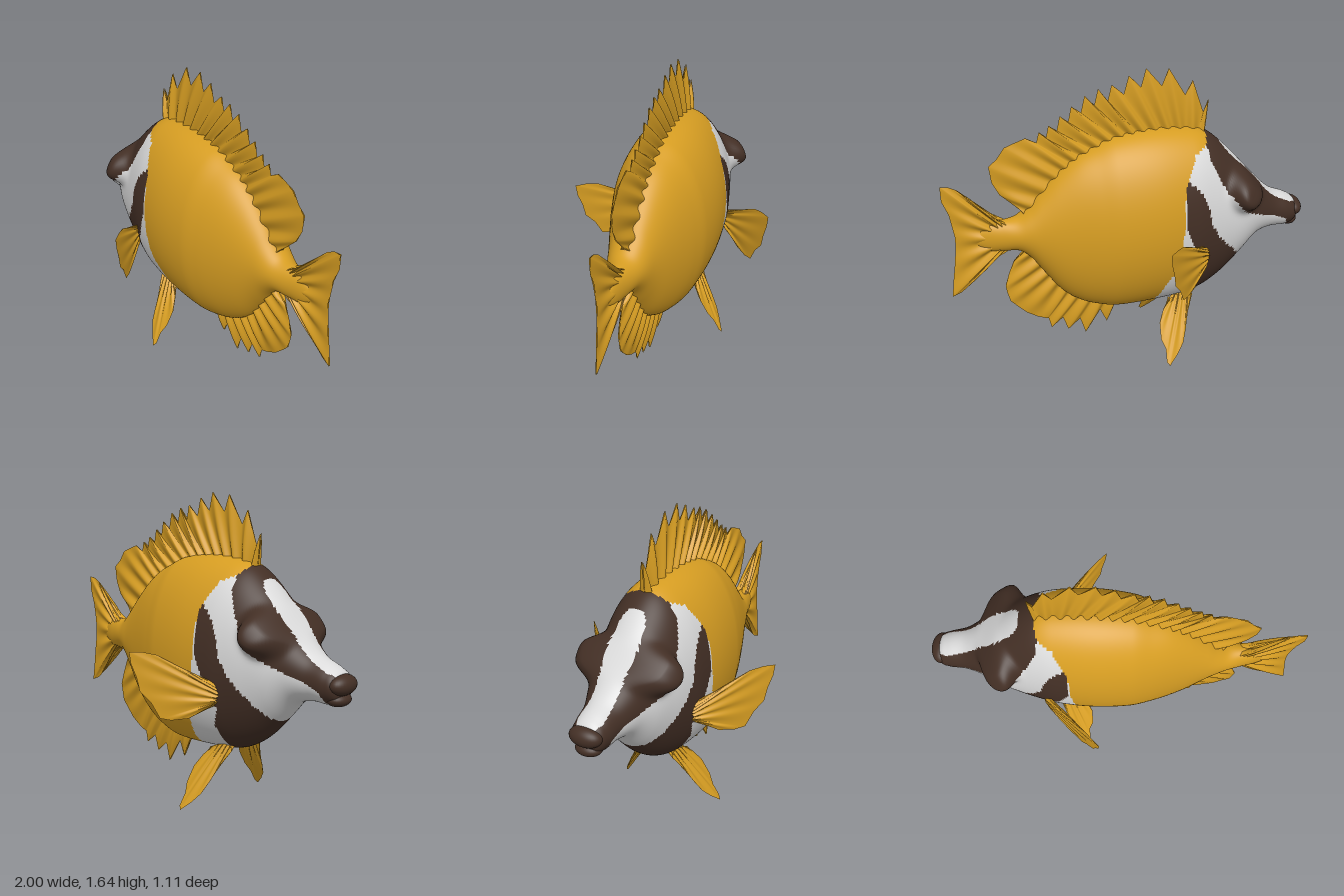
import * as THREE from 'three';

const mat = (name, color, side = THREE.FrontSide) => {
  const m = new THREE.MeshStandardMaterial({ color, side });
  m.name = name;
  return m;
};

// Piecewise lookup in rows [key, value...]; smooth = cubic through the rows
function lookup(rows, key, col = 1, smooth = false) {
  const last = rows.length - 1;
  if (key <= rows[0][0]) return rows[0][col];
  if (key >= rows[last][0]) return rows[last][col];
  let i = 0;
  while (rows[i + 1][0] < key) i++;
  const a = rows[i], b = rows[i + 1], d = b[0] - a[0], t = (key - a[0]) / d;
  if (!smooth) return a[col] + (b[col] - a[col]) * t;
  const p = rows[Math.max(i - 1, 0)], n = rows[Math.min(i + 2, last)];
  const ma = (b[col] - p[col]) / (b[0] - p[0]) * d, mb = (n[col] - a[col]) / (n[0] - a[0]) * d;
  const t2 = t * t, t3 = t2 * t;
  return (2 * t3 - 3 * t2 + 1) * a[col] + (t3 - 2 * t2 + t) * ma + (3 * t2 - 2 * t3) * b[col] + (t3 - t2) * mb;
}

// Body sections: x, top, bottom, half width
const BODY = [
  [-0.97, 0.79, 0.76, 0.01], [-0.95, 0.845, 0.715, 0.075], [-0.9, 0.88, 0.69, 0.098], [-0.8, 0.925, 0.69, 0.115],
  [-0.7, 1.02, 0.66, 0.155], [-0.6, 1.13, 0.555, 0.2], [-0.5, 1.235, 0.45, 0.228], [-0.4, 1.315, 0.38, 0.252],
  [-0.3, 1.345, 0.345, 0.273], [-0.1, 1.355, 0.325, 0.286], [0.1, 1.33, 0.32, 0.268], [0.2, 1.29, 0.34, 0.24],
  [0.3, 1.24, 0.38, 0.205], [0.4, 1.16, 0.46, 0.168], [0.5, 1.055, 0.6, 0.13], [0.56, 0.985, 0.69, 0.11],
  [0.62, 0.935, 0.74, 0.088], [0.7, 0.92, 0.745, 0.06], [0.78, 0.905, 0.755, 0.035], [0.86, 0.84, 0.81, 0.004],
];

// Colour borders, as x for a given height y
const EYE_BAND = [[0.7, -0.9], [0.76, -0.88], [0.8, -0.8], [0.83, -0.72], [0.86, -0.65], [0.9, -0.58],
  [0.94, -0.55], [1.02, -0.48], [1.1, -0.43], [1.2, -0.385], [1.28, -0.375], [1.34, -0.39]];
const CHEEK_FRONT = [[0.5, -0.62], [0.55, -0.6], [0.62, -0.57], [0.68, -0.52], [0.78, -0.43], [0.87, -0.38],
  [0.95, -0.36], [1.05, -0.32], [1.1, -0.28], [1.13, -0.24]];
const CHEEK_BACK = [[0.35, -0.31], [0.5, -0.3], [0.6, -0.34], [0.65, -0.33], [0.75, -0.28], [0.85, -0.235],
  [0.9, -0.225], [1.1, -0.23], [1.13, -0.24]];
const GOLD_FRONT = [[0.32, -0.08], [0.45, -0.12], [0.55, -0.15], [0.6, -0.19], [0.9, -0.22], [1.08, -0.225],
  [1.15, -0.25], [1.24, -0.3], [1.28, -0.38], [1.34, -0.4]];
const STRIPE = [[-0.96, 0.045], [-0.9, 0.07], [-0.8, 0.064], [-0.7, 0.07], [-0.6, 0.085], [-0.5, 0.068], [-0.47, 0.03]];

// 0 gold, 1 brown, 2 white
function paint(x, y, z) {
  if (x > lookup(GOLD_FRONT, y)) return 0;
  if (x < lookup(EYE_BAND, y)) {
    const forehead = x > -0.96 && x < -0.475 && y > 0.82 && Math.abs(z) < lookup(STRIPE, x);
    return forehead ? 2 : 1;
  }
  return y < 1.13 && x > lookup(CHEEK_FRONT, y) && x < lookup(CHEEK_BACK, y) ? 1 : 2;
}

// Lofted body with raised eyes, split into colour groups
function bodyGeometry() {
  const NX = 190, NA = 128, x0 = BODY[0][0], x1 = BODY[BODY.length - 1][0];
  const pos = [], faces = [[], [], []];
  for (let i = 0; i <= NX; i++) {
    const x = x0 + (x1 - x0) * i / NX;
    const [top, bottom, half] = [1, 2, 3].map(c => lookup(BODY, x, c, true));
    for (let j = 0; j < NA; j++) {
      const a = j / NA * Math.PI * 2, c = Math.cos(a);
      const y = (top + bottom) / 2 + (top - bottom) / 2 * Math.sin(a);
      const d = Math.hypot(x + 0.605, y - 1.02) / 0.105;
      const eye = 0.115 * Math.exp(-(d ** 4)) * Math.sign(c) * Math.min(1, Math.abs(c) * 1.6);
      pos.push(x, y, half * c + eye);
    }
  }
  for (let i = 0; i < NX; i++) for (let j = 0; j < NA; j++) {
    const k = (j + 1) % NA, a = i * NA + j, b = i * NA + k, c = a + NA, d = b + NA;
    const mid = [0, 1, 2].map(n => (pos[a * 3 + n] + pos[b * 3 + n] + pos[c * 3 + n] + pos[d * 3 + n]) / 4);
    faces[paint(...mid)].push(a, c, b, b, c, d);
  }
  const g = new THREE.BufferGeometry();
  g.setAttribute('position', new THREE.Float32BufferAttribute(pos, 3));
  g.setIndex(faces.flat());
  let start = 0;
  faces.forEach((f, m) => { g.addGroup(start, f.length, m); start += f.length; });
  g.computeVertexNormals();
  return g;
}

// Two-sided fin from a base curve to a jagged edge; every other edge point is a raised ray
function finGeometry(base, edge, thick, centreZ = () => 0) {
  const curve = new THREE.SplineCurve(base.map(p => new THREE.Vector2(...p)));
  const SUB = 6, NU = (edge.length - 1) * SUB, NV = 10, pos = [], idx = [];
  for (const side of [1, -1]) {
    const first = pos.length / 3;
    for (let i = 0; i <= NU; i++) {
      const f = i / SUB, k = Math.min(Math.floor(f), edge.length - 2), t = f - k;
      const b = curve.getPoint(i / NU);
      const ex = edge[k][0] + (edge[k + 1][0] - edge[k][0]) * t;
      const ey = edge[k][1] + (edge[k + 1][1] - edge[k][1]) * t;
      const ray = 0.68 - 0.32 * Math.cos(Math.PI * f);
      for (let j = 0; j <= NV; j++) {
        const v = j / NV, x = b.x + (ex - b.x) * v, y = b.y + (ey - b.y) * v;
        pos.push(x, y, centreZ(x, y) + side * thick * ray * (1 - v ** 2 * 0.92));
      }
    }
    for (let i = 0; i < NU; i++) for (let j = 0; j < NV; j++) {
      const a = first + i * (NV + 1) + j, b = a + 1, c = a + NV + 1, d = c + 1;
      // Dorsal-like fins run clockwise, so the near side winds this way
      if (side > 0) idx.push(a, c, b, b, c, d); else idx.push(a, b, c, b, d, c);
    }
  }
  // Make the near side face +z whichever way the outline runs
  const [p, q, r] = [0, (NU >> 1) * (NV + 1), (NU >> 1) * (NV + 1) + NV].map(n => n * 3);
  const turn = (pos[q] - pos[p]) * (pos[r + 1] - pos[p + 1]) - (pos[q + 1] - pos[p + 1]) * (pos[r] - pos[p]);
  if (turn < 0) idx.reverse();
  const g = new THREE.BufferGeometry();
  g.setAttribute('position', new THREE.Float32BufferAttribute(pos, 3));
  g.setIndex(idx);
  g.computeVertexNormals();
  return g;
}

// Saw-toothed edge: each spine tip followed by a notch close behind it
const spines = (tips, drop) => tips.flatMap((p, i) => {
  const n = tips[i + 1] || [p[0] + 0.05, p[1]];
  return [p, [p[0] + (n[0] - p[0]) * 0.3, p[1] + (n[1] - p[1]) * 0.3 - drop * (1 - 0.5 * i / tips.length)]];
});

export function createModel() {
  const fish = new THREE.Group();
  fish.name = 'fish';
  const gold = mat('gold', 0xd69d22), brown = mat('darkBrown', 0x432f25), white = mat('white', 0xdadada);
  const finGold = gold;
  gold.side = THREE.DoubleSide;
  const add = (name, geometry, material) => {
    const m = new THREE.Mesh(geometry, material);
    m.name = name;
    fish.add(m);
    return m;
  };

  add('body', bodyGeometry(), [gold, brown, white]);

  // Lips
  const ball = new THREE.SphereGeometry(1, 32, 20);
  const upper = add('upperLip', ball, brown);
  upper.position.set(-0.945, 0.795, 0);
  upper.scale.set(0.055, 0.052, 0.088);
  const lower = add('lowerLip', ball, brown);
  lower.position.set(-0.925, 0.722, 0);
  lower.scale.set(0.055, 0.036, 0.07);

  // Fins along the midline
  add('dorsalFin', finGeometry(
    [[-0.4, 1.28], [-0.25, 1.31], [-0.08, 1.32], [0.08, 1.3], [0.25, 1.23], [0.4, 1.12], [0.58, 0.94]],
    [[-0.4, 1.3], ...spines([[-0.42, 1.48], [-0.33, 1.59], [-0.2, 1.665], [-0.08, 1.675], [0.01, 1.645], [0.1, 1.605],
      [0.17, 1.59], [0.24, 1.56], [0.31, 1.51], [0.37, 1.465], [0.43, 1.42], [0.48, 1.39]], 0.1),
    [0.55, 1.365], [0.61, 1.345], [0.66, 1.325], [0.7, 1.27], [0.745, 1.23], [0.735, 1.14], [0.7, 1.07], [0.65, 1.02], [0.58, 0.95]],
    0.034), finGold);
  add('analFin', finGeometry(
    [[0.08, 0.35], [0.2, 0.37], [0.32, 0.43], [0.42, 0.52], [0.5, 0.63], [0.59, 0.74]],
    [[0.09, 0.32], ...spines([[0.145, 0.19], [0.27, 0.135], [0.37, 0.175], [0.465, 0.205]], -0.1),
      [0.49, 0.27], [0.54, 0.29], [0.6, 0.33], [0.65, 0.38], [0.685, 0.42], [0.7, 0.48], [0.705, 0.52], [0.68, 0.6], [0.65, 0.67], [0.59, 0.72]],
    0.034), finGold);
  add('tailFin', finGeometry(
    [[0.68, 0.915], [0.69, 0.87], [0.69, 0.83], [0.69, 0.79], [0.68, 0.75]],
    [[0.72, 0.925], [0.79, 0.985], [0.85, 1.06], [0.91, 1.12], [0.955, 1.145], [0.995, 1.15], [0.995, 1.07], [0.965, 0.99], [0.955, 0.92],
      [0.945, 0.85], [0.95, 0.78], [0.96, 0.7], [0.975, 0.61], [0.99, 0.5], [0.94, 0.52], [0.88, 0.57], [0.82, 0.64], [0.77, 0.7], [0.72, 0.74]],
    0.036), finGold);

  // Paired fins
  for (const [label, s] of [['left', 1], ['right', -1]]) {
    add(label + 'PectoralFin', finGeometry(
      [[-0.36, 0.73], [-0.37, 0.69], [-0.36, 0.65], [-0.34, 0.62]],
      [[-0.35, 0.74], [-0.28, 0.79], [-0.21, 0.84], [-0.15, 0.885], [-0.1, 0.9], [-0.055, 0.9], [-0.06, 0.84], [-0.08, 0.77],
        [-0.09, 0.7], [-0.13, 0.64], [-0.16, 0.56], [-0.2, 0.55], [-0.26, 0.56], [-0.31, 0.6], [-0.34, 0.62]],
      0.02, x => s * (0.55 + (x + 0.06) * 1.02)), finGold);
    add(label + 'PelvicFin', finGeometry(
      [[-0.33, 0.37], [-0.29, 0.38], [-0.24, 0.37], [-0.19, 0.35]],
      [[-0.33, 0.35], [-0.29, 0.27], [-0.265, 0.19], [-0.24, 0.13], [-0.2, 0.08], [-0.145, 0.03], [-0.13, 0.05],
        [-0.135, 0.11], [-0.115, 0.16], [-0.12, 0.24], [-0.15, 0.3], [-0.19, 0.34]],
      0.018, (x, y) => s * (0.3 - (y - 0.035) * 0.61)), finGold);
  }
  return fish;
}
